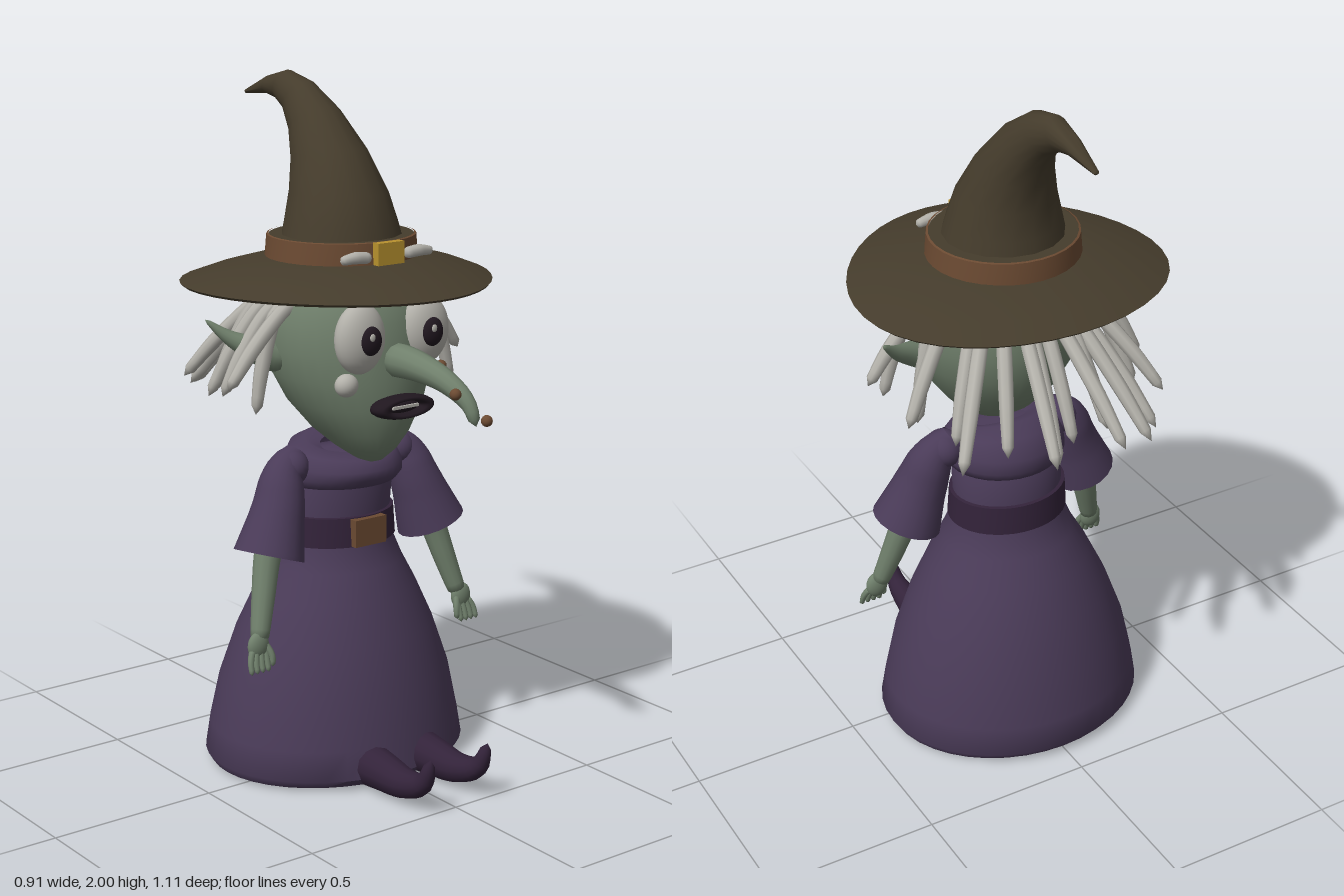
import * as THREE from 'three';
import { mergeVertices, toCreasedNormals } from 'three/addons/utils/BufferGeometryUtils.js';

const mat = (name, color, side = THREE.FrontSide) => {
  const m = new THREE.MeshStandardMaterial({ color, side });
  m.name = name;
  return m;
};

// Skin through rings; each row is [front z, front y, back z, back y, half width]
function loft(rows, n = 32, crease = 0.9) {
  const pos = [], idx = [];
  rows.forEach(([zf, yf, zb, yb, rx], i) => {
    for (let j = 0; j < n; j++) {
      const a = (j / n) * Math.PI * 2, k = (1 + Math.cos(a)) / 2;
      pos.push(rx * Math.sin(a), yb + (yf - yb) * k, zb + (zf - zb) * k);
      if (i === rows.length - 1) continue;
      const p = i * n + j, q = i * n + (j + 1) % n;
      idx.push(p, q, q + n, p, q + n, p + n);
    }
  });
  const g = new THREE.BufferGeometry();
  g.setAttribute('position', new THREE.Float32BufferAttribute(pos, 3));
  g.setIndex(idx);
  return toCreasedNormals(mergeVertices(g, 1e-5), crease);
}

// Tube of changing radius along a curve, with optional rounded ends
function limb(points, radii, { n = 20, sides = 12, round = true } = {}) {
  const curve = new THREE.CatmullRomCurve3(points.map(p => new THREE.Vector3(...p)));
  const g = new THREE.TubeGeometry(curve, n, 1, sides);
  const len = curve.getLength(), pos = g.attributes.position, v = new THREE.Vector3();
  for (let i = 0; i <= n; i++) {
    const t = i / n, c = curve.getPointAt(t);
    const u = t * (radii.length - 1), k = Math.min(Math.floor(u), radii.length - 2);
    let r = THREE.MathUtils.lerp(radii[k], radii[k + 1], u - k);
    if (round) {
      const d = Math.min(1, (Math.min(t, 1 - t) * len) / r);
      r *= Math.sqrt(1 - (1 - d) ** 2);
    }
    for (let j = 0; j <= sides; j++) {
      const q = i * (sides + 1) + j;
      v.fromBufferAttribute(pos, q).sub(c).multiplyScalar(r).add(c);
      pos.setXYZ(q, v.x, v.y, v.z);
    }
  }
  g.deleteAttribute('uv');
  g.deleteAttribute('normal');
  const m = mergeVertices(g, 1e-5);
  m.computeVertexNormals();
  return m;
}

export function createModel() {
  const root = new THREE.Group();
  root.name = 'witch';
  const skin = mat('skin green', 0x70806c);
  const robe = mat('robe purple', 0x4a3b58, THREE.DoubleSide);
  const dark = mat('dark plum', 0x33233a);
  const hat = mat('hat olive brown', 0x453c2c);
  const leather = mat('leather brown', 0x6b4a32);
  const gold = mat('gold', 0xb8922e);
  const hair = mat('pale grey', 0xb3b1aa);
  const black = mat('near black', 0x20171f);

  const add = (name, geo, material, p = [0, 0, 0], s = [1, 1, 1]) => {
    const m = new THREE.Mesh(geo, material);
    m.name = name;
    m.position.set(...p);
    m.scale.set(...s);
    root.add(m);
    return m;
  };
  const ball = new THREE.SphereGeometry(1, 24, 16);
  const level = ([y, zf, zb, rx]) => [zf, y, zb, y, rx];

  // Robe, belt and cowl
  add('robe', loft([
    [0.012, -0.07, -0.07, 0], [0.01, 0.25, -0.4, 0.385], [0.035, 0.275, -0.42, 0.4],
    [0.12, 0.262, -0.408, 0.386], [0.25, 0.24, -0.382, 0.357], [0.4, 0.2, -0.337, 0.302],
    [0.52, 0.155, -0.285, 0.245], [0.6, 0.12, -0.24, 0.2], [0.67, 0.085, -0.2, 0.172],
    [0.76, 0.078, -0.192, 0.165], [0.86, 0.09, -0.185, 0.165], [0.93, 0.07, -0.13, 0.13],
    [0.95, -0.03, -0.03, 0]].map(level), 40), robe);
  add('belt', loft([[0.67, 0.08, -0.19, 0.165], [0.672, 0.094, -0.208, 0.18],
    [0.758, 0.088, -0.203, 0.175], [0.76, 0.07, -0.185, 0.16]].map(level), 40, 0.6), dark);
  add('beltBuckle', new THREE.BoxGeometry(0.11, 0.08, 0.03), leather, [0, 0.715, 0.092]);
  add('cowl', loft([[0.08, 0.845, -0.17, 0.84, 0.15], [0.11, 0.85, -0.19, 0.845, 0.17],
    [0.132, 0.875, -0.203, 0.87, 0.182], [0.135, 0.9, -0.2, 0.91, 0.178],
    [0.11, 0.93, -0.17, 0.965, 0.16], [0.06, 0.945, -0.12, 0.99, 0.12],
    [0.03, 0.93, -0.07, 0.97, 0.08]], 32, 1.2), robe);

  // Head
  add('head', loft([
    [0.92, 0.1, 0.1, 0], [0.935, 0.145, 0.035, 0.035], [0.97, 0.185, -0.04, 0.08],
    [1.02, 0.212, -0.11, 0.132], [1.1, 0.23, -0.178, 0.192], [1.18, 0.232, -0.215, 0.23],
    [1.26, 0.228, -0.23, 0.248], [1.34, 0.215, -0.225, 0.245], [1.42, 0.185, -0.2, 0.222],
    [1.485, 0.12, -0.14, 0.16], [1.49, 0, 0, 0]].map(level), 32, 1.2), skin);
  add('nose', limb([[0, 1.24, 0.19], [0, 1.237, 0.32], [0.01, 1.212, 0.43],
    [0.025, 1.165, 0.5], [0.032, 1.105, 0.527]], [0.052, 0.045, 0.036, 0.027, 0.014]), skin);
  for (const p of [[0.036, 1.245, 0.37], [-0.015, 1.195, 0.495], [0.058, 1.12, 0.54]])
    add('wart', ball, leather, p, [0.016, 0.016, 0.016]);
  const lips = new THREE.TorusGeometry(0.078, 0.026, 12, 32);
  add('lips', lips, black, [0, 1.112, 0.247], [1, 0.32, 1.25]);
  add('mouthInside', ball, black, [0, 1.112, 0.235], [0.08, 0.022, 0.025]);
  add('teeth', new THREE.BoxGeometry(0.09, 0.008, 0.008), hair, [0, 1.114, 0.262]);

  for (const s of [1, -1]) {
    const side = s > 0 ? 'left' : 'right';
    // Face details
    add(side + 'Eye', ball, hair, [s * 0.113, 1.31, 0.2], [0.08, 0.1, 0.05]);
    add(side + 'Pupil', ball, black, [s * 0.108, 1.31, 0.245], [0.034, 0.041, 0.02]);
    add(side + 'EyeGlint', ball, hair, [s * 0.108 - 0.008, 1.323, 0.263], [0.009, 0.011, 0.004]);
    add(side + 'Cheek', ball, hair, [s * 0.147, 1.18, 0.185], [0.035, 0.033, 0.03]);
    add(side + 'Ear', limb([[s * 0.2, 1.22, -0.02], [s * 0.3, 1.265, -0.05], [s * 0.36, 1.3, -0.08],
      [s * 0.415, 1.35, -0.11]], [0.045, 0.04, 0.022, 0.004]), skin);

    // Sleeve, arm and hand
    add(side + 'Sleeve', limb([[s * 0.165, 0.945, -0.03], [s * 0.215, 0.9, -0.02],
      [s * 0.25, 0.8, 0], [s * 0.293, 0.675, 0.015]], [0.035, 0.066, 0.082, 0.103],
      { round: false, sides: 20 }), robe);
    add(side + 'Shoulder', ball, robe, [s * 0.19, 0.91, -0.025], [0.055, 0.055, 0.06]);
    add(side + 'Arm', limb([[s * 0.25, 0.82, 0], [s * 0.3, 0.67, 0.015], [s * 0.328, 0.57, 0.035],
      [s * 0.365, 0.44, 0.065]], [0.04, 0.04, 0.034, 0.026]), skin);
    add(side + 'Palm', ball, skin, [s * 0.37, 0.438, 0.068], [0.034, 0.04, 0.02]);
    for (let f = 0; f < 4; f++)
      add(side + 'Finger', limb([[s * (0.352 + f * 0.013), 0.43, 0.07],
        [s * (0.352 + f * 0.018), 0.4, 0.083], [s * (0.353 + f * 0.019), 0.364, 0.095]],
        [0.01, 0.009, 0.007], { n: 10, sides: 8 }), skin);
    add(side + 'Thumb', limb([[s * 0.355, 0.45, 0.065], [s * 0.338, 0.41, 0.088],
      [s * 0.338, 0.375, 0.092]], [0.011, 0.01, 0.008], { n: 10, sides: 8 }), skin);

    // Curled shoe
    add(side + 'Shoe', limb([[s * 0.09, 0.066, 0.12], [s * 0.092, 0.062, 0.28], [s * 0.095, 0.062, 0.4],
      [s * 0.1, 0.095, 0.48], [s * 0.103, 0.172, 0.513]], [0.058, 0.062, 0.05, 0.034, 0.012]), dark);
  }

  // Hair strands, given by their tips
  const tips = [[-0.445, 1.18, 0.045], [-0.4, 1.14, -0.05], [-0.33, 1.09, 0.01], [-0.38, 1.12, -0.15],
    [-0.32, 1.13, -0.37], [-0.3, 1.1, -0.25], [-0.24, 1.08, -0.46], [-0.2, 1.07, -0.5],
    [-0.12, 1.08, -0.4], [-0.09, 1.1, -0.54], [0, 1.08, -0.42], [0.08, 1.07, -0.48],
    [0.13, 1.11, -0.55], [0.2, 1.09, -0.41], [0.37, 1.12, -0.465], [0.3, 1.1, -0.3],
    [0.39, 1.13, -0.2], [0.42, 1.18, -0.02], [0.35, 1.1, 0.03], [0.31, 1.07, -0.1]];
  for (const [x, y, z] of tips) {
    const d = Math.hypot(x, z), cx = x / d, cz = z / d;
    add('hairStrand', limb([[cx * 0.2, 1.4, cz * 0.2], [cx * 0.255, 1.37, cz * 0.255],
      [(x + cx * 0.28) / 2, (y + 1.37) / 2, (z + cz * 0.28) / 2], [x, y, z]],
      [0.02, 0.022, 0.021, 0.015], { n: 14, sides: 8 }), hair);
  }

  // Hat brim, narrowing towards the front
  const brim = loft([[1.475, -0.015, -0.015, 0], [1.475, 0.2, -0.23, 0.215], [1.455, 0.33, -0.36, 0.36],
    [1.43, 0.405, -0.435, 0.45], [1.437, 0.412, -0.442, 0.456], [1.465, 0.34, -0.37, 0.38],
    [1.503, 0.2, -0.24, 0.225], [1.505, -0.02, -0.02, 0]].map(level), 40, 0.8);
  const bp = brim.attributes.position;
  for (let i = 0; i < bp.count; i++) bp.setX(i, bp.getX(i) * (1 - 0.35 * (bp.getZ(i) + 0.05)));
  add('hatBrim', brim, hat);

  // Hat band, crown and bent tip
  add('hatBand', loft([[1.495, 0.17, -0.24, 0.21], [1.497, 0.178, -0.247, 0.22],
    [1.563, 0.174, -0.243, 0.214], [1.565, 0.168, -0.237, 0.208]].map(level), 32, 0.6), leather);
  add('hatCrownBase', loft([[1.5, 0.168, -0.237, 0.208], [1.562, 0.168, -0.237, 0.208],
    [1.564, -0.035, -0.035, 0]].map(level)), hat);
  add('hatCrown', loft([[0.14, 1.55, -0.205, 1.55, 0.175], [0.125, 1.6, -0.197, 1.6, 0.163],
    [0.098, 1.68, -0.192, 1.68, 0.14], [0.02, 1.8, -0.205, 1.76, 0.108],
    [-0.09, 1.91, -0.235, 1.83, 0.076], [-0.19, 1.975, -0.28, 1.885, 0.052],
    [-0.29, 2, -0.335, 1.915, 0.037], [-0.38, 1.978, -0.39, 1.925, 0.026],
    [-0.5, 1.928, -0.497, 1.916, 0.008], [-0.503, 1.921, -0.503, 1.921, 0]], 16, 1.3), hat);
  add('hatBuckle', new THREE.BoxGeometry(0.09, 0.066, 0.025), gold, [0, 1.532, 0.183]);
  for (const s of [1, -1])
    add('hatBone', limb([[s * 0.058, 1.525, 0.178], [s * 0.11, 1.53, 0.178], [s * 0.16, 1.524, 0.174]],
      [0.016, 0.017, 0.012], { n: 14, sides: 10 }), hair);

  return root;
}
